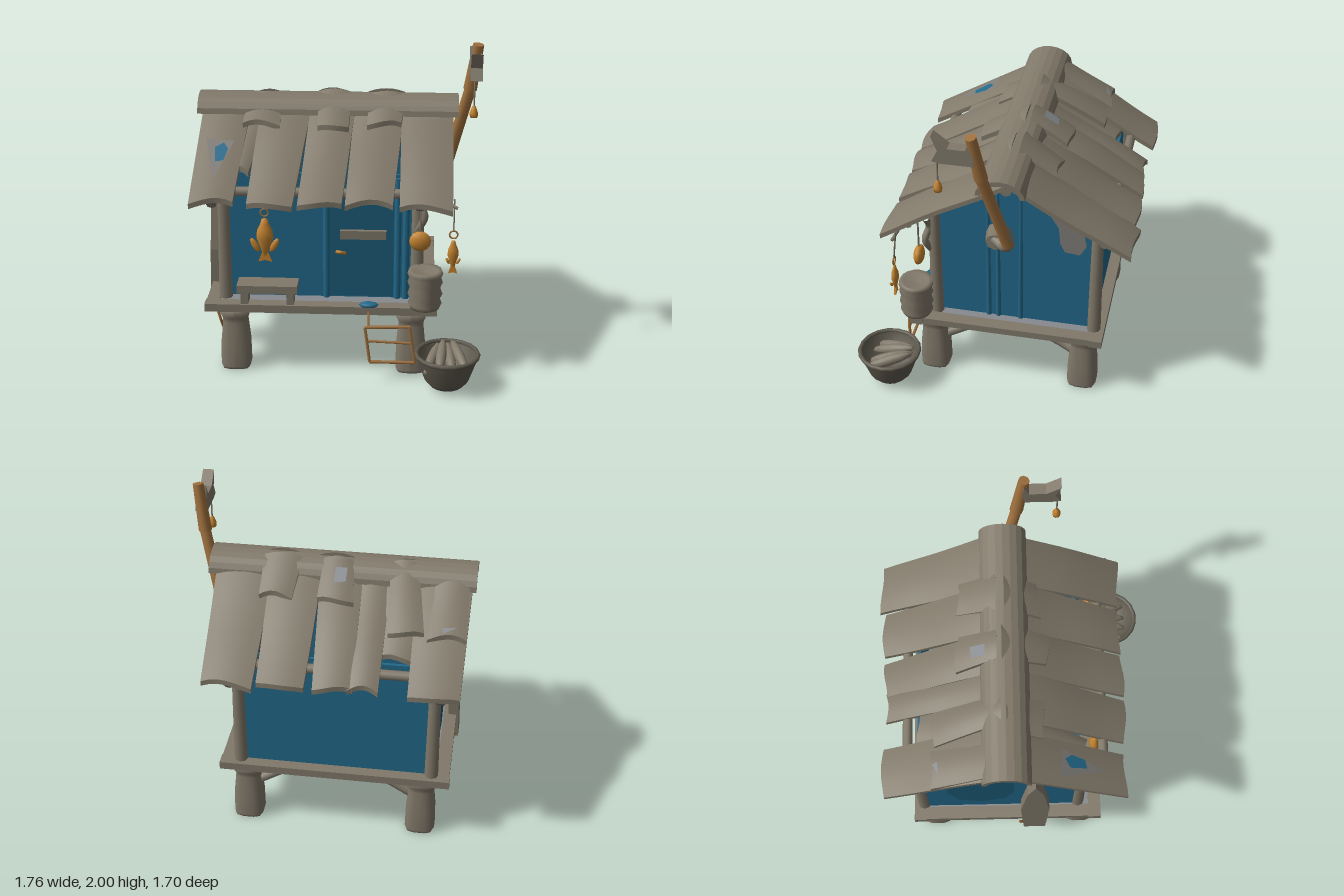
import * as THREE from 'three';

const V = (x, y, z) => new THREE.Vector3(x, y, z);
const mat = (name, color, side = THREE.FrontSide) => {
  const m = new THREE.MeshStandardMaterial({ color, side });
  m.name = name;
  return m;
};

export function createModel() {
  const root = new THREE.Group();
  root.name = 'stiltHut';
  const wood = mat('greyWood', 0x81796a);
  const blue = mat('blueCloth', 0x22698a, THREE.DoubleSide);
  const darkBlue = mat('darkBlueCloth', 0x1d5b78, THREE.DoubleSide);
  const orange = mat('orangeFish', 0xc48430);
  const brown = mat('brownWood', 0xa0713f);
  const plaster = mat('greyPatch', 0x7f7c78, THREE.DoubleSide);
  const slate = mat('slateFloor', 0x868a8e, THREE.DoubleSide);
  const bowlMat = mat('darkBowl', 0x5f5a4e, THREE.DoubleSide);

  const add = (name, geo, m, x = 0, y = 0, z = 0) => {
    const mesh = new THREE.Mesh(geo, m);
    mesh.name = name;
    mesh.position.set(x, y, z);
    root.add(mesh);
    return mesh;
  };
  const box = (name, m, x, y, z, w, h, d) => add(name, new THREE.BoxGeometry(w, h, d), m, x, y, z);
  const rod = (name, m, a, b, r0, r1 = r0, n = 8) => {
    const mesh = add(name, new THREE.CylinderGeometry(r1, r0, a.distanceTo(b), n), m);
    mesh.position.copy(a).lerp(b, 0.5);
    mesh.quaternion.setFromUnitVectors(V(0, 1, 0), b.clone().sub(a).normalize());
    return mesh;
  };
  const tube = (name, m, pts, r, n = 8) =>
    add(name, new THREE.TubeGeometry(new THREE.CatmullRomCurve3(pts), 24, r, n), m);
  const lathe = (name, m, pts, x, y, z, n = 16) =>
    add(name, new THREE.LatheGeometry(pts.map(p => new THREE.Vector2(...p)), n), m, x, y, z);
  const poly = pts => new THREE.Shape(pts.map(p => new THREE.Vector2(...p)));
  // Plate drawn in (z, y), facing along x
  const sidePlate = (name, m, pts, x, t) => {
    const g = new THREE.ExtrudeGeometry(poly(pts), { depth: t, bevelEnabled: false });
    return add(name, g.rotateY(-Math.PI / 2), m, x, 0, 0);
  };

  // Legs: lathes squared off into rounded posts
  for (const x of [-0.63, 0.46]) for (const z of [0.395, -0.56]) {
    const leg = lathe('leg', wood, [[0, 0], [0.085, 0], [0.093, 0.02], [0.09, 0.17], [0.076, 0.31], [0.08, 0.34], [0.09, 0.36], [0.09, 0.41], [0, 0.41]], x, 0, z, 16);
    const p = leg.geometry.attributes.position;
    for (let i = 0; i < p.count; i++) {
      const a = Math.atan2(p.getZ(i), p.getX(i));
      const k = Math.pow(Math.cos(a) ** 4 + Math.sin(a) ** 4, -0.25);
      p.setX(i, p.getX(i) * k);
      p.setZ(i, p.getZ(i) * k);
    }
    leg.geometry.computeVertexNormals();
  }
  // Bent side braces from front leg to back leg, and short struts at the back
  for (const x of [-0.63, 0.46]) {
    const inX = x < 0 ? x + 0.03 : x - 0.03;
    tube('sideBrace', wood, [V(x, 0.22, 0.36), V(inX, 0.27, 0.24), V(inX, 0.37, 0.05), V(inX, 0.385, -0.08), V(inX, 0.37, -0.18), V(inX, 0.27, -0.41), V(x, 0.22, -0.53)], 0.034);
    const s = x < 0 ? 1 : -1;
    rod('backStrut', wood, V(x + s * 0.05, 0.24, -0.55), V(x + s * 0.37, 0.42, -0.53), 0.032);
  }

  // Deck
  box('floor', slate, -0.095, 0.435, -0.085, 1.36, 0.03, 1.16);
  for (const z of [0.48, -0.65]) box('deckBeam', wood, -0.095, 0.435, z, 1.42, 0.05, 0.08);
  for (const x of [-0.76, 0.57]) box('deckBeam', wood, x, 0.437, -0.085, 0.08, 0.045, 1.2);

  // Walls and corner posts
  const gable = [[0.36, 0.46], [0.36, 1.26], [-0.11, 1.55], [-0.62, 1.24], [-0.62, 0.46]];
  sidePlate('rightWall', blue, gable, 0.48, 0.02);
  sidePlate('leftWall', blue, gable, -0.69, 0.02);
  box('frontWall', blue, -0.11, 0.86, 0.35, 1.18, 0.8, 0.02);
  box('backWall', blue, -0.11, 0.85, -0.61, 1.18, 0.78, 0.02);
  for (const x of [-0.69, 0.49]) for (const z of [0.37, -0.625])
    rod('cornerPost', wood, V(x, 0.45, z), V(x, 1.25, z), 0.042, 0.034);
  for (const z of [0.04, -0.02, -0.16]) rod('wallPleat', blue, V(0.477, 0.46, z), V(0.477, 1.47, z), 0.018, 0.01, 6);
  sidePlate('wallPatch', plaster, [[-0.25, 1.42], [-0.59, 1.23], [-0.59, 1.18], [-0.54, 1.18], [-0.56, 1.08], [-0.52, 1.01], [-0.43, 1.02], [-0.4, 1.08], [-0.39, 1.19]], 0.487, 0.006);
  sidePlate('hangingCloth', darkBlue, [[-0.45, 1.2], [-0.46, 0.8], [-0.4, 0.64], [-0.25, 0.58], [-0.1, 0.65], [-0.04, 0.8], [-0.05, 1.2]], -0.713, 0.007);

  // Door, frame, slot and handle
  box('door', darkBlue, 0.15, 0.82, 0.364, 0.39, 0.7, 0.008);
  for (const x of [-0.065, 0.37, 0.42]) rod('doorFrame', blue, V(x, 0.46, 0.365), V(x, 1.24, 0.365), 0.02);
  box('doorSlot', wood, 0.16, 0.88, 0.38, 0.28, 0.055, 0.03);
  tube('doorHandle', orange, [V(0, 0.76, 0.37), V(0.02, 0.77, 0.4), V(0.05, 0.755, 0.38)], 0.011);
  add('rag', new THREE.SphereGeometry(0.06, 10, 6).scale(1, 0.3, 0.6), blue, 0.2, 0.47, 0.5);

  // Roof planks follow the slope, arched across and gently waved
  const ridgeZ = -0.11;
  const roofY = d => 1.6 - 0.6 * d;
  let seed = 0;
  const plank = (name, side, [t0, t1], [b0, b1], d0, d1, lift = 0, wave = 0.007) => {
    const g = new THREE.BoxGeometry(1, 0.032, 1, 6, 1, 8), p = g.attributes.position;
    seed += 1.7;
    for (let i = 0; i < p.count; i++) {
      const u = p.getX(i) + 0.5, t = 0.5 + side * p.getZ(i);
      const d = d0 + (d1 - d0) * t + 0.012 * t * Math.sin(u * 4 + seed);
      const x0 = t0 + (b0 - t0) * t, x1 = t1 + (b1 - t1) * t;
      const y = roofY(d) + lift + p.getY(i) + wave * Math.sin(d * 9 + seed) + 0.022 * (4 * u * (1 - u) - 0.5);
      p.setXYZ(i, x0 + (x1 - x0) * u, y, ridgeZ + side * d);
    }
    g.computeVertexNormals();
    return add(name, g, wood);
  };
  // Front planks
  plank('frontPlank', 1, [-0.85, -0.55], [-0.86, -0.6], 0, 0.74, 0, 0);
  plank('frontPlank', 1, [-0.64, -0.42], [-0.64, -0.53], 0, 0.5, -0.03);
  plank('frontPlank', 1, [-0.49, -0.17], [-0.52, -0.25], 0, 0.75);
  plank('frontPlank', 1, [-0.18, 0.1], [-0.22, 0.04], 0, 0.75);
  plank('frontPlank', 1, [0.09, 0.4], [0.06, 0.34], 0, 0.74);
  plank('frontPlank', 1, [0.38, 0.7], [0.38, 0.69], 0, 0.75);
  // Back planks
  plank('backPlank', -1, [-0.86, -0.53], [-0.84, -0.54], 0, 0.72);
  plank('backPlank', -1, [-0.62, -0.33], [-0.55, -0.36], 0, 0.5, -0.02);
  plank('backPlank', -1, [-0.37, -0.16], [-0.37, -0.19], 0, 0.7, -0.012);
  plank('backPlank', -1, [-0.2, 0.06], [-0.22, 0.01], 0, 0.71);
  plank('backPlank', -1, [0.04, 0.36], [0.06, 0.34], 0, 0.72);
  plank('backPlank', -1, [0.34, 0.69], [0.36, 0.66], 0, 0.74);
  // Overlapping short boards
  plank('shortBoard', -1, [-0.84, -0.64], [-0.85, -0.62], 0.06, 0.42, 0.03);
  plank('shortBoard', -1, [-0.53, -0.36], [-0.6, -0.39], 0, 0.41, 0.035);
  plank('shortBoard', -1, [-0.14, 0.04], [-0.17, 0.05], 0.02, 0.26, 0.045);
  plank('shortBoard', -1, [0.17, 0.4], [0.2, 0.4], 0.02, 0.25, 0.042);
  // Bent ridge cap and its shingles
  const capArc = (rz, ry, from, to) => Array.from({ length: 11 }, (_, i) => {
    const a = from + (to - from) * i / 10;
    return [-0.085 + rz * Math.cos(a), 1.535 + ry * Math.sin(a)];
  });
  sidePlate('ridgeCap', wood, [...capArc(0.145, 0.108, 0, Math.PI), ...capArc(0.115, 0.078, Math.PI, 0)], 0.73, 1.61);
  plank('ridgeShingle', 1, [-0.57, -0.37], [-0.59, -0.36], 0.03, 0.25, 0.045);
  plank('ridgeShingle', 1, [-0.14, 0.07], [-0.13, 0.06], 0.01, 0.28, 0.05);
  plank('ridgeShingle', 1, [0.18, 0.4], [0.17, 0.38], 0.03, 0.24, 0.045);
  // Rafters and purlins
  for (const side of [1, -1]) {
    for (const x of [-0.73, 0.5])
      rod('rafter', wood, V(x, roofY(0) - 0.05, ridgeZ), V(x, roofY(0.7) - 0.045, ridgeZ + side * 0.7), 0.032);
    const d = side > 0 ? 0.61 : 0.57;
    rod('purlin', wood, V(-0.8, roofY(d) - 0.045, ridgeZ + side * d), V(0.62, roofY(d) - 0.045, ridgeZ + side * d), 0.03);
  }
  rod('ridgePole', wood, V(-0.82, 1.55, ridgeZ), V(0.68, 1.55, ridgeZ), 0.035);

  // Thin roof patches given as [x, distance from ridge]
  const roofPatch = (name, m, side, pts, lift) => {
    const g = new THREE.ShapeGeometry(poly(pts)), p = g.attributes.position;
    for (let i = 0; i < p.count; i++) {
      const d = p.getY(i);
      p.setXYZ(i, p.getX(i), roofY(d) + lift, ridgeZ + side * d);
    }
    g.computeVertexNormals();
    add(name, g, m);
  };
  roofPatch('roofHole', plaster, 1, [[-0.8, 0.34], [-0.63, 0.35], [-0.73, 0.62]], 0.032);
  roofPatch('roofHoleCloth', blue, 1, [[-0.74, 0.4], [-0.69, 0.37], [-0.66, 0.41], [-0.68, 0.49], [-0.73, 0.5]], 0.036);
  roofPatch('backHole', slate, -1, [[-0.11, 0.09], [-0.04, 0.09], [-0.04, 0.18], [-0.11, 0.17]], 0.08);
  roofPatch('backHole', slate, -1, [[-0.79, 0.37], [-0.71, 0.41], [-0.7, 0.38]], 0.066);

  // Bent hanging pole with a forked board and bell
  rod('poleFoot', wood, V(0.47, 1.1, -0.02), V(0.58, 1.1, -0.02), 0.075, 0.055);
  tube('poleElbow', wood, [V(0.54, 1.12, 0), V(0.6, 1.1, -0.08), V(0.65, 1.16, -0.12), V(0.68, 1.3, -0.1)], 0.036);
  rod('pole', brown, V(0.665, 1.16, -0.12), V(0.8, 1.72, 0.01), 0.037, 0.035);
  rod('poleTop', brown, V(0.795, 1.7, 0.005), V(0.835, 1.99, 0.05), 0.042, 0.034);
  sidePlate('forkedBoard', wood, [[0.03, 1.81], [0.22, 1.81], [0.27, 1.82], [0.235, 1.89], [0.27, 1.98], [0.18, 1.91], [0.08, 1.91], [0.05, 1.98]], 0.855, 0.07);
  rod('bellString', wood, V(0.81, 1.66, 0.25), V(0.81, 1.83, 0.25), 0.005);
  lathe('bell', orange, [[0, 0], [0.024, 0.005], [0.026, 0.03], [0.012, 0.07], [0, 0.08]], 0.81, 1.59, 0.25, 10);

  // Hanging fish, head up, with tail, side fins, ring and string
  const fish = (x, y, z, h, w, finSize, top) => {
    const g = new THREE.LatheGeometry([[0, 0.1], [0.25, 0.15], [0.6, 0.35], [1, 0.55], [0.9, 0.72], [0.5, 0.88], [0.35, 0.98], [0, 1]].map(p => new THREE.Vector2(p[0] * w, p[1] * h)), 12);
    add('fishBody', g.scale(1, 1, 0.7), orange, x, y, z);
    const flat = { depth: 0.014, bevelEnabled: false };
    const tail = poly([[-0.8 * w, 0], [0, 0.04 * h], [0.8 * w, 0], [0.3 * w, 0.24 * h], [-0.3 * w, 0.24 * h]]);
    add('fishTail', new THREE.ExtrudeGeometry(tail, flat), orange, x, y, z - 0.007);
    for (const s of [-1, 1]) {
      const fin = add('fishFin', new THREE.SphereGeometry(1, 8, 6).scale(0.4 * finSize, finSize, 0.012), orange, x + s * (w * 0.55 + finSize * 0.6), y + 0.4 * h, z + 0.015);
      fin.rotation.z = -s * 0.5;
    }
    add('fishRing', new THREE.TorusGeometry(0.024, 0.005, 6, 14), brown, x, y + h + 0.035, z);
    rod('fishString', wood, V(x, y + h + 0.055, z), V(x, top, z - 0.02), 0.005, 0.005, 6);
  };
  fish(-0.43, 0.73, 0.47, 0.28, 0.052, 0.05, 1.2);
  fish(0.7, 0.72, 0.57, 0.21, 0.033, 0.022, 1.18);
  rod('hangerStick', wood, V(0.62, 1.17, 0.54), V(0.72, 1.13, 0.57), 0.01);
  add('roundFish', new THREE.SphereGeometry(0.066, 12, 8).scale(1, 0.95, 0.5), orange, 0.505, 0.88, 0.47);
  rod('roundFishString', wood, V(0.505, 0.94, 0.47), V(0.505, 1.22, 0.47), 0.006, 0.006, 6);
  tube('gnarledKnot', wood, [V(0.49, 0.92, 0.39), V(0.53, 1.02, 0.42), V(0.5, 1.1, 0.4), V(0.53, 1.18, 0.41)], 0.022);

  // Bench and wrinkled keg on the deck
  box('benchSeat', wood, -0.42, 0.56, 0.45, 0.37, 0.05, 0.14);
  for (const x of [-0.56, -0.28]) box('benchLeg', wood, x, 0.495, 0.45, 0.045, 0.08, 0.11);
  lathe('keg', wood, [[0, 0], [0.09, 0], [0.103, 0.03], [0.09, 0.06], [0.106, 0.09], [0.092, 0.13], [0.107, 0.165], [0.095, 0.2], [0.108, 0.22], [0.1, 0.245], [0.08, 0.235], [0, 0.225]], 0.54, 0.46, 0.49);

  // Bowl of catch
  lathe('bowl', bowlMat, [[0, 0.02], [0.1, 0.02], [0.135, 0.06], [0.19, 0.22], [0.175, 0.215], [0.12, 0.07], [0, 0.06]], 0.68, 0, 0.645, 18);
  add('bowlRim', new THREE.TorusGeometry(0.187, 0.014, 6, 18).rotateX(Math.PI / 2), bowlMat, 0.68, 0.222, 0.645);
  for (let i = 0; i < 4; i++) {
    const x = 0.59 + i * 0.055;
    const f = add('bowlFish', new THREE.SphereGeometry(1, 10, 8).scale(0.032, 0.035, 0.15), wood, x, 0.18 + 0.02 * (i % 2), 0.63);
    f.rotation.set(0.3, (i - 1.5) * 0.2, 0);
  }

  // Drying rack hanging in front of the deck
  const R = (x, y) => V(x, y, 0.57);
  const corners = [R(0.18, 0.35), R(0.45, 0.36), R(0.485, 0.12), R(0.21, 0.12)];
  corners.forEach((c, i) => rod('rackBar', brown, c, corners[(i + 1) % 4], 0.01, 0.01, 6));
  rod('rackBar', brown, R(0.19, 0.26), R(0.465, 0.25), 0.008, 0.008, 6);
  rod('rackHook', brown, R(0.2, 0.34), V(0.2, 0.43, 0.52), 0.008, 0.008, 6);

  // Board leaning on the left wall, with a strap loop
  const board = sidePlate('leaningBoard', wood, [[0.02, 0], [0.16, 0], [0.18, 0.4], [0.14, 0.72], [0.09, 0.86], [0.04, 0.72], [0, 0.4]], -0.755, 0.065);
  board.position.y = 0.28;
  board.rotation.z = -0.03;
  tube('strapLoop', brown, [V(-0.8, 0.32, 0.01), V(-0.76, 0.18, 0), V(-0.75, 0.11, 0.05), V(-0.75, 0.11, 0.1), V(-0.76, 0.18, 0.15), V(-0.8, 0.32, 0.14)], 0.009, 6);

  return root;
}
